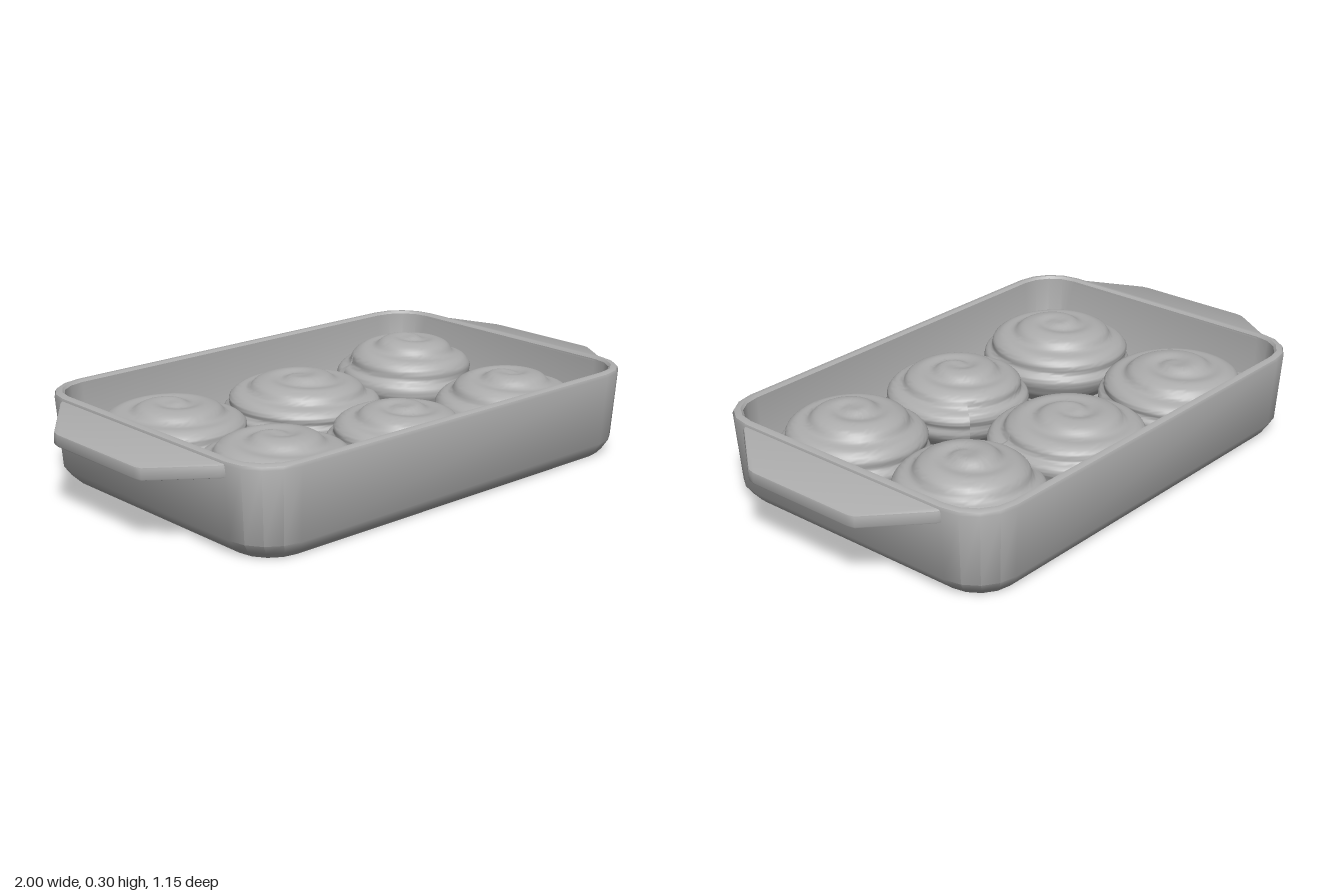
import * as THREE from 'three';
import { toCreasedNormals } from 'three/addons/utils/BufferGeometryUtils.js';

const clay = new THREE.MeshStandardMaterial({ color: 0xacacac });
clay.name = 'grey clay';

// Skin closed rings of [x, y, z] points, ordered bottom to top on an outer face
function loft(rings, crease) {
  const n = rings[0].length;
  const index = [];
  for (let i = 0; i < rings.length - 1; i++) {
    for (let j = 0; j < n; j++) {
      const k = (j + 1) % n;
      const a = i * n + j, b = i * n + k, c = a + n, d = b + n;
      index.push(a, c, b, b, c, d);
    }
  }
  const geometry = new THREE.BufferGeometry();
  geometry.setAttribute('position', new THREE.Float32BufferAttribute(rings.flat(2), 3));
  geometry.setIndex(index);
  return toCreasedNormals(geometry, crease);
}

function addMesh(parent, name, geometry) {
  const mesh = new THREE.Mesh(geometry, clay);
  mesh.name = name;
  parent.add(mesh);
  return mesh;
}

// Rounded rectangle ring with half sizes hx, hz and corner radius r
function roundedRing(hx, hz, r, y) {
  const ring = [];
  const steps = 4;
  for (let corner = 0; corner < 4; corner++) {
    const sx = corner === 0 || corner === 3 ? 1 : -1;
    const sz = corner < 2 ? 1 : -1;
    for (let i = 0; i <= steps; i++) {
      const a = (corner + i / steps) * Math.PI / 2;
      ring.push([sx * (hx - r) + r * Math.cos(a), y, sz * (hz - r) + r * Math.sin(a)]);
    }
  }
  return ring;
}

// Dish wall: underside, bevelled foot, outer wall, rim, inner wall, floor
function dishGeometry() {
  const profile = [
    [0, 0, 0, 0],
    [0.78, 0.528, 0.12, 0],
    [0.8, 0.545, 0.14, 0.018],
    [0.822, 0.562, 0.15, 0.05],
    [0.839, 0.577, 0.16, 0.288],
    [0.835, 0.573, 0.157, 0.298],
    [0.826, 0.564, 0.15, 0.303],
    [0.815, 0.553, 0.14, 0.303],
    [0.807, 0.545, 0.132, 0.295],
    [0.788, 0.53, 0.12, 0.055],
    [0.775, 0.518, 0.11, 0.035],
    [0, 0, 0, 0.035],
  ];
  return loft(profile.map((p) => roundedRing(...p)), 0.62);
}

// Tapered, slightly drooping grip
function handleGeometry() {
  const shape = new THREE.Shape([
    [0.81, -0.43], [0.845, -0.41], [0.99, -0.225], [0.995, -0.2],
    [0.995, 0.2], [0.99, 0.225], [0.845, 0.41], [0.81, 0.43],
  ].map(([x, z]) => new THREE.Vector2(x, z)));
  const geometry = new THREE.ExtrudeGeometry(shape, {
    depth: 0.03, bevelEnabled: true, bevelThickness: 0.006, bevelSize: 0.005, bevelSegments: 2,
  });
  geometry.rotateX(Math.PI / 2);
  const p = geometry.attributes.position;
  for (let i = 0; i < p.count; i++) {
    p.setY(i, p.getY(i) + 0.286 - (p.getX(i) - 0.83) * 0.15);
  }
  return toCreasedNormals(geometry, 0.6);
}

// Domed roll with a soft spiral groove and a loose outer end at angle "tip"
function rollGeometry(radius, top, tip) {
  const mid = 0.14;
  const height = top - mid;
  const rows = 56, columns = 72;
  const rings = [];
  for (let i = 0; i <= rows; i++) {
    const phi = 2.5 * (1 - i / rows);
    const outer = THREE.MathUtils.smoothstep(phi, 0.85, 1.45);
    const centre = THREE.MathUtils.smoothstep(phi, 0, 0.25);
    const fade = centre * (1 - THREE.MathUtils.smoothstep(phi, 1.4, 2));
    // Lower half tucks down to the floor, whatever the dome height
    const rise = phi < Math.PI / 2 ? height : 0.15;
    const ring = [];
    for (let j = 0; j <= columns; j++) {
      const t = j / columns;
      const a = tip + t * Math.PI * 2;
      // Spiral phase winds inward as the angle grows
      const phase = phi * 1.8 + t;
      const groove = 0.015 * fade * Math.pow(0.5 + 0.5 * Math.cos(2 * Math.PI * phase), 2);
      const spread = 1 + outer * (0.045 - 0.08 * t);
      const r = Math.max(0, (radius * spread - groove) * Math.sin(phi));
      const y = mid + (rise - groove) * Math.cos(phi) - 0.008 * (1 - centre);
      ring.push([r * Math.cos(a), y, r * Math.sin(a)]);
    }
    rings.push(ring);
  }
  return loft(rings, 1.1);
}

export function createModel() {
  const model = new THREE.Group();
  model.name = 'bakingDishWithRolls';

  addMesh(model, 'dish', dishGeometry());

  const handle = handleGeometry();
  addMesh(model, 'leftHandle', handle);
  addMesh(model, 'rightHandle', handle).rotation.y = Math.PI;

  // Rolls: x, z, radius, top height, angle of the loose end in degrees
  const rolls = new THREE.Group();
  rolls.name = 'rolls';
  model.add(rolls);
  [
    [-0.518, -0.272, 0.268, 0.262, 212],
    [0.015, -0.235, 0.268, 0.262, 25],
    [0.53, -0.238, 0.249, 0.306, 210],
    [-0.505, 0.256, 0.265, 0.28, 121],
    [0, 0.277, 0.249, 0.27, -51],
    [0.502, 0.284, 0.25, 0.288, 126],
  ].forEach(([x, z, radius, top, tip], i) => {
    const roll = addMesh(rolls, `roll${i + 1}`, rollGeometry(radius, top, THREE.MathUtils.degToRad(tip)));
    roll.position.set(x, 0, z);
  });

  return model;
}
